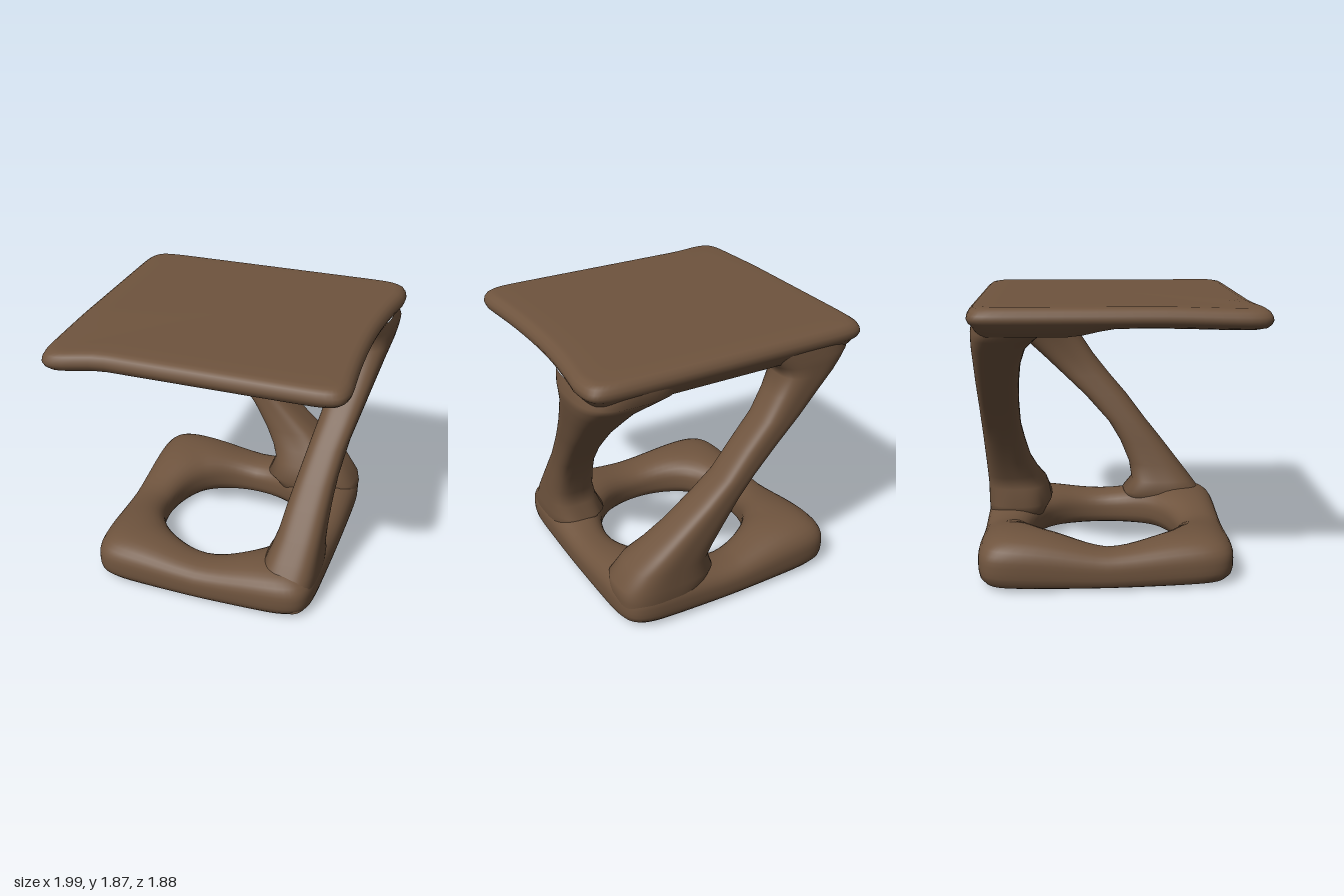
import * as THREE from 'three';

const SEG = 96;
const wood = new THREE.MeshStandardMaterial({ color: 0x6f543e });
wood.name = 'brown wood';

// Unit superellipse point: n = 2 is a circle, large n is a rounded square
function squircle(t, n) {
  const c = Math.cos(t), s = Math.sin(t);
  const r = Math.pow(Math.abs(c) ** n + Math.abs(s) ** n, -1 / n);
  return [c * r, s * r];
}

// Skin a list of closed rings with one smooth surface
function skin(name, rows, closed = false) {
  const n = rows[0].length, index = [];
  const count = closed ? rows.length : rows.length - 1;
  for (let i = 0; i < count; i++) {
    const k = (i + 1) % rows.length;
    for (let j = 0; j < n; j++) {
      const m = (j + 1) % n;
      const a = i * n + j, b = i * n + m, c = k * n + j, d = k * n + m;
      index.push(a, c, b, b, c, d);
    }
  }
  const g = new THREE.BufferGeometry();
  g.setAttribute('position', new THREE.Float32BufferAttribute(rows.flat(2), 3));
  g.setIndex(index);
  g.computeVertexNormals();
  const mesh = new THREE.Mesh(g, wood);
  mesh.name = name;
  return mesh;
}

// Points around a ring, packed closer together at the four corners
const ring = (fn) => Array.from({ length: SEG }, (_, j) => {
  const t = (j / SEG) * Math.PI * 2;
  return fn(t + 0.19 * Math.sin(4 * t));
});

// Strut skinned through horizontal sections [y, x0, x1, z0, z1]
function strut(name, sections) {
  return skin(name, sections.map(([y, x0, x1, z0, z1]) => ring((t) => {
    const [u, v] = squircle(t, 3);
    return [(x0 + x1 + u * (x1 - x0)) / 2, y, (z0 + z1 + v * (z1 - z0)) / 2];
  })));
}

// Square top with a waved right edge, a drawn-out front corner and a thicker back
function tableTop() {
  const profile = [
    [0, 1.73], [0.2, 1.73], [0.4, 1.73], [0.6, 1.73], [0.75, 1.73], [0.85, 1.73], [0.93, 1.732],
    [0.97, 1.745], [0.99, 1.765], [1, 1.79], [0.995, 1.815], [0.98, 1.84], [0.955, 1.857],
    [0.92, 1.864], [0.8, 1.865], [0.4, 1.865], [0, 1.865],
  ];
  const step = THREE.MathUtils.smoothstep;
  const rows = profile.map(([s, y]) => ring((t) => {
    const [u, v] = squircle(t, 16);
    const z = v * s * 0.91 - 0.03;
    const pull = 0.075 * step(-u * s, 0.55, 0.95) * step(z, 0.2, 0.8);
    const wave = Math.min(1, (z / 0.7) ** 2);
    const x = u * s * (u > 0 ? 0.93 + (z < 0 ? 0.065 : 0.04) * wave : 1);
    const sag = y < 1.74 ? 0.05 * step(-z, 0, 0.32) : 0;
    return [x, y - sag - pull * 0.2, z + pull];
  }));
  return skin('tableTop', rows);
}

// Square base with a round hole, swelling toward its corners
function baseRing() {
  const rows = [];
  for (let i = 0; i < 32; i++) {
    const p = (i / 32) * Math.PI * 2;
    const [a, b] = squircle(p, Math.sin(p) < 0 ? 4 : 2.3);
    rows.push(ring((t) => {
      const [u, v] = squircle(t, 9);
      const c = Math.cos(t), s = Math.sin(t);
      const backLeft = Math.max(0, -c) * Math.max(0, -s);
      const h = 0.245 + 0.065 * Math.sin(2 * t) ** 2 + 0.08 * backLeft;
      const outX = u * 0.815 + (u < 0 ? 0.03 * v : 0), outZ = v * 0.86;
      const k = (a + 1) / 2;
      return [
        -0.045 + THREE.MathUtils.lerp(c * 0.52, outX, k),
        (h / 2) * (1 + b),
        -0.075 + THREE.MathUtils.lerp(s * 0.53, outZ, k),
      ];
    }));
  }
  return skin('baseRing', rows, true);
}

export function createModel() {
  const model = new THREE.Group();
  model.name = 'sideTable';
  model.add(tableTop(), baseRing());

  // Back strut: bottom right corner up to the top left corner
  model.add(strut('backStrut', [
    [0.05, 0.25, 0.74, -0.91, -0.5],
    [0.2, 0.12, 0.76, -0.93, -0.5],
    [0.28, 0.06, 0.75, -0.93, -0.46],
    [0.4, 0.11, 0.66, -0.93, -0.5],
    [0.5, 0.07, 0.55, -0.93, -0.56],
    [0.63, 0.0, 0.4, -0.93, -0.61],
    [0.8, -0.1, 0.2, -0.93, -0.64],
    [0.95, -0.21, 0.04, -0.93, -0.66],
    [1.13, -0.38, -0.1, -0.93, -0.66],
    [1.3, -0.55, -0.25, -0.93, -0.65],
    [1.45, -0.69, -0.34, -0.93, -0.63],
    [1.57, -0.81, -0.41, -0.93, -0.59],
    [1.64, -0.88, -0.37, -0.93, -0.52],
    [1.69, -0.93, -0.29, -0.93, -0.45],
    [1.77, -0.96, -0.2, -0.92, -0.35],
  ]));

  // Side strut: bottom front corner up to the top back corner
  model.add(strut('sideStrut', [
    [0.05, 0.48, 0.74, 0.22, 0.75],
    [0.2, 0.42, 0.765, 0.12, 0.73],
    [0.27, 0.37, 0.765, 0.09, 0.68],
    [0.35, 0.41, 0.765, 0.16, 0.62],
    [0.48, 0.45, 0.765, 0.14, 0.52],
    [0.65, 0.48, 0.77, 0.07, 0.39],
    [0.8, 0.51, 0.78, -0.02, 0.27],
    [1.0, 0.55, 0.81, -0.2, 0.12],
    [1.15, 0.58, 0.85, -0.36, -0.01],
    [1.3, 0.6, 0.89, -0.52, -0.13],
    [1.45, 0.575, 0.93, -0.68, -0.23],
    [1.57, 0.55, 0.965, -0.81, -0.31],
    [1.64, 0.42, 0.98, -0.88, -0.3],
    [1.69, 0.33, 0.985, -0.93, -0.27],
    [1.77, 0.25, 0.96, -0.92, -0.2],
  ]));
  return model;
}
